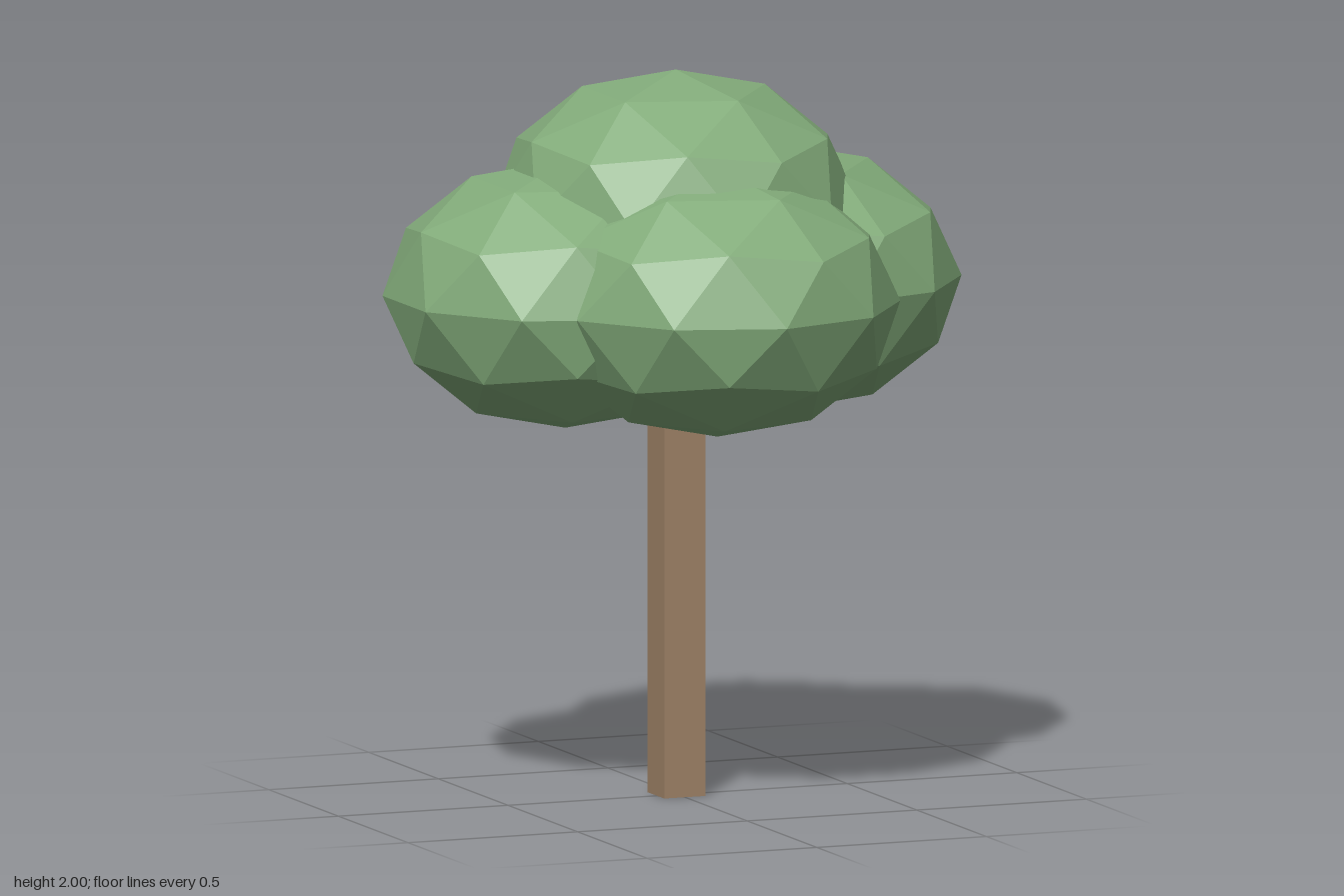
import * as THREE from 'three';

export function createModel() {
  const tree = new THREE.Group();
  tree.name = 'tree';
  const leaf = new THREE.MeshStandardMaterial({ color: 0x82ab7a, flatShading: true });
  const bark = new THREE.MeshStandardMaterial({ color: 0xa08468, flatShading: true });

  // Square trunk, its top hidden inside the foliage
  const trunk = new THREE.Mesh(new THREE.BoxGeometry(0.122, 1.4, 0.122), bark);
  trunk.name = 'trunk';
  trunk.position.set(0, 0.7, -0.008);
  tree.add(trunk);

  // Low-poly ball with a vertex turned to the top, then flattened
  const clump = new THREE.IcosahedronGeometry(1, 1);
  clump.rotateZ(-Math.atan2(2, 1 + Math.sqrt(5)));
  clump.scale(0.5, 0.37, 0.5);

  // Four foliage clumps around the trunk and one on top
  const clumps = {
    frontFoliage: [0, 1.4, 0.287],
    backFoliage: [0, 1.4, -0.289],
    leftFoliage: [0.325, 1.4, -0.065],
    rightFoliage: [-0.325, 1.4, -0.015],
    topFoliage: [0, 1.63, -0.013],
  };
  for (const [name, position] of Object.entries(clumps)) {
    const mesh = new THREE.Mesh(clump, leaf);
    mesh.name = name;
    mesh.position.set(...position);
    tree.add(mesh);
  }
  return tree;
}
